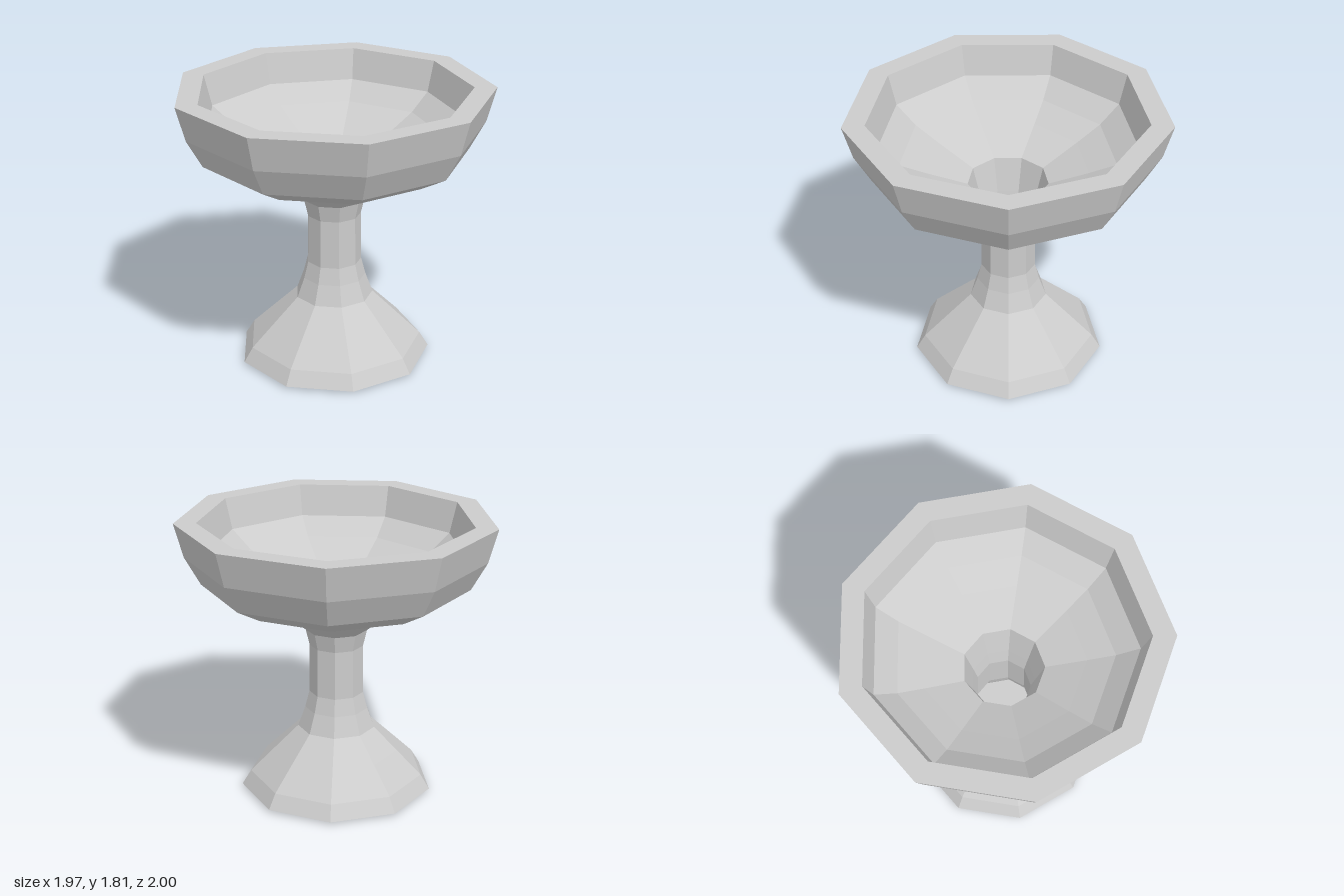
import * as THREE from 'three';

const SIDES = 9;

// Nine-sided turned surface with one corner on +x; profile is [radius, height] pairs
function turned(name, profile) {
  const points = profile.map(([r, y]) => new THREE.Vector2(r, y));
  const geometry = new THREE.LatheGeometry(points, SIDES, Math.PI / 2);
  const material = new THREE.MeshStandardMaterial({
    color: 0xcccccc, flatShading: true, side: THREE.DoubleSide,
  });
  const mesh = new THREE.Mesh(geometry, material);
  mesh.name = name;
  return mesh;
}

export function createModel() {
  const goblet = new THREE.Group();
  goblet.name = 'goblet';

  // Underside of the foot, very slightly conical, with a small central hole
  goblet.add(turned('footUnderside', [[0.07, 0], [0.625, 0.015]]));

  // Flared foot rising into a hollow, thin-walled stem
  goblet.add(turned('footAndStem', [
    [0.625, 0.015], [0.567, 0.11], [0.405, 0.27], [0.252, 0.42],
    [0.205, 0.55], [0.177, 0.66], [0.174, 0.98], [0.2, 1.09],
  ]));

  // Outside of the bowl
  goblet.add(turned('bowlOutside', [
    [0.2, 1.09], [0.32, 1.18], [0.48, 1.25], [0.675, 1.31],
    [0.855, 1.41], [0.955, 1.59], [1.015, 1.81],
  ]));

  // Flat rim
  goblet.add(turned('bowlRim', [[1.015, 1.81], [0.873, 1.81]]));

  // Inside of the bowl, dropping through a throat into the stem
  goblet.add(turned('bowlInside', [
    [0.873, 1.81], [0.82, 1.61], [0.68, 1.5], [0.51, 1.42],
    [0.257, 1.31], [0.2, 1.09],
  ]));

  // An odd-sided body is off its axis when centred by its extents
  for (const part of goblet.children) part.position.x = -0.033;
  return goblet;
}
